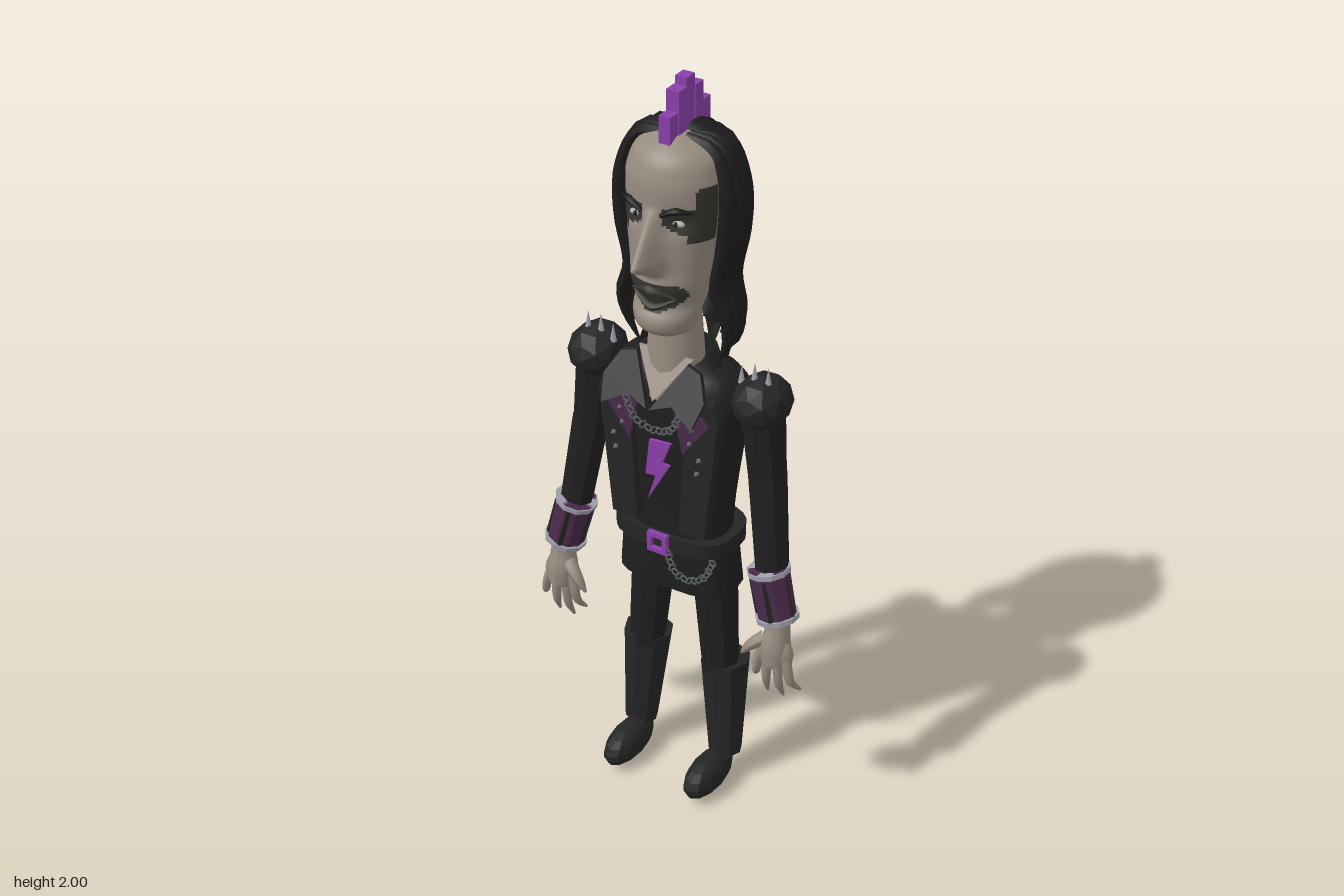
import * as THREE from 'three';

const M = {};
for (const [name, hex] of Object.entries({
  skin: 0x968b80, hair: 0x1c1c1c, leather: 0x252526, cloth: 0x1f1f20, purple: 0x8a40aa,
  plum: 0x4a2a4c, silver: 0xa2a2b0, steel: 0x5c6266, facePaint: 0x35342f, eye: 0xb0aca2 })) {
  M[name] = new THREE.MeshStandardMaterial({ color: hex });
  M[name].name = name;
}
M.hair.side = M.leather.side = THREE.DoubleSide;
const V = (a) => new THREE.Vector3(...a);

export function createModel() {
  const root = new THREE.Group();
  const add = (name, geo, mat, pos = [0, 0, 0], scale = [1, 1, 1], flat = false) => {
    if (flat) { geo = geo.index ? geo.toNonIndexed() : geo; geo.computeVertexNormals(); }
    const m = new THREE.Mesh(geo, mat);
    m.name = name; m.position.set(...pos); m.scale.set(...scale);
    root.add(m);
    return m;
  };

  // Skin stacked oval sections: keys are [y, halfWidth, zFront, zBack], angle 0 faces the front
  const loft = (keys, { rows = 12, seg = 28, e = 1, a0 = -Math.PI, a1 = Math.PI, cap = false, mod, paint } = {}) => {
    const curve = new THREE.CubicInterpolant(keys.map(k => k[0]), keys.flatMap(k => k.slice(1)), 3);
    const full = a1 - a0 > 6.28, cols = full ? seg : seg + 1, pos = [], sets = [[], []];
    const y0 = keys[0][0], y1 = keys[keys.length - 1][0], pw = (t) => Math.sign(t) * Math.abs(t) ** e;
    for (let r = cap ? -1 : 0; r <= (cap ? rows + 1 : rows); r++) {
      const t = Math.min(1, Math.max(0, r / rows)), y = y0 + (y1 - y0) * t, k = r < 0 || r > rows ? 0 : 1;
      const [w, zf, zb] = curve.evaluate(y);
      for (let j = 0; j < cols; j++) {
        const a = a0 + (a1 - a0) * j / seg;
        const p = V([k * w * pw(Math.sin(a)), y, (zf + zb) / 2 + k * (zf - zb) / 2 * pw(Math.cos(a))]);
        if (mod) mod(p, a, t);
        pos.push(p.x, p.y, p.z);
      }
    }
    for (let r = 0; r < pos.length / 3 / cols - 1; r++) for (let j = 0; j < seg; j++) {
      const a = r * cols + j, b = r * cols + (j + 1) % cols, mid = [0, 1, 2].map(i => (pos[a * 3 + i] + pos[(b + cols) * 3 + i]) / 2);
      sets[paint && paint(...mid) ? 1 : 0].push(a, b, b + cols, a, b + cols, a + cols);
    }
    const g = new THREE.BufferGeometry();
    g.setAttribute('position', new THREE.Float32BufferAttribute(pos, 3));
    g.setIndex([...sets[0], ...sets[1]]);
    if (paint) { g.addGroup(0, sets[0].length, 0); g.addGroup(sets[0].length, sets[1].length, 1); }
    g.computeVertexNormals();
    return g;
  };

  // Tube along points whose radius follows a list of values
  const sweep = (pts, radii, sides = 7, seg = 16) => {
    const c = new THREE.CatmullRomCurve3(pts.map(V)), g = new THREE.TubeGeometry(c, seg, 1, sides), p = g.attributes.position;
    for (let i = 0; i < p.count; i++) {
      const t = Math.floor(i / (sides + 1)) / seg, f = t * (radii.length - 1), k = Math.min(radii.length - 2, Math.floor(f));
      const o = c.getPointAt(t), v = new THREE.Vector3().fromBufferAttribute(p, i);
      v.sub(o).multiplyScalar(THREE.MathUtils.lerp(radii[k], radii[k + 1], f - k)).add(o);
      p.setXYZ(i, v.x, v.y, v.z);
    }
    g.computeVertexNormals();
    return g;
  };
  // Straight tapered limb from p to q
  const limb = (name, p, q, r0, r1, mat, sides = 8) => {
    const d = V(q).sub(V(p)), m = add(name, new THREE.CylinderGeometry(r1, r0, d.length(), sides), mat, V(p).lerp(V(q), 0.5).toArray(), [1, 1, 1], true);
    m.quaternion.setFromUnitVectors(new THREE.Vector3(0, 1, 0), d.normalize());
    return m;
  };
  // Extruded outline, optionally tilted outward towards the bottom
  const plate = (name, pts, z, depth, mat, tilt = 0, yTop = 0) => {
    const g = new THREE.ExtrudeGeometry(new THREE.Shape(pts.map(p => new THREE.Vector2(...p))), { depth, bevelEnabled: false });
    const p = g.attributes.position;
    for (let i = 0; i < p.count; i++) p.setZ(i, p.getZ(i) + z + tilt * (yTop - p.getY(i)));
    g.computeVertexNormals();
    return add(name, g, mat);
  };
  const mir = (pts, s) => pts.map(([x, ...r]) => [x * s, ...r]);
  const chain = (name, pts, n) => {
    const c = new THREE.CatmullRomCurve3(pts.map(V));
    for (let i = 0; i <= n; i++) {
      const m = add(name, new THREE.TorusGeometry(0.009, 0.003, 4, 8), M.steel, c.getPointAt(i / n).toArray());
      m.rotation.y = i % 2 ? 1.1 : 0;
    }
  };

  // Head with long nose and painted eye sockets and mouth
  const bump = (t, a, peak, b) => t <= a || t >= b ? 0 : t < peak ? (t - a) / (peak - a) : (b - t) / (b - peak);
  add('head', loft([
    [1.375, .03, .035, -.03], [1.40, .065, .085, -.05], [1.44, .08, .1, -.06], [1.475, .086, .082, -.08], [1.52, .095, .095, -.1],
    [1.57, .105, .09, -.12], [1.65, .118, .088, -.14], [1.72, .123, .088, -.145], [1.80, .117, .083, -.14], [1.85, .088, .055, -.12], [1.875, .035, .01, -.08]
  ], { rows: 70, seg: 88, cap: true,
    mod: (p) => {
      if (p.z < 0.03) return;
      const n = bump(p.y, 1.555, 1.602, 1.73), w = 0.032 - Math.max(0, p.y - 1.6) * 0.09;
      p.z += 0.086 * n * Math.exp(-((p.x / w) ** 2) * 1.6);
      p.z -= 0.014 * Math.exp(-(((Math.abs(p.x) - .058) / .03) ** 2) - ((p.y - 1.695) / .025) ** 2);
    },
    paint: (x, y, z) => {
      const a = Math.abs(x);
      if (z < 0) return false;
      const socket = a > .027 && y > 1.705 - .035 * Math.min(1, a / .06) - (a > .08 ? .025 : 0) && y < 1.735 + (a > .095 ? .05 : 0);
      const mouth = (x / .078) ** 2 + ((y - 1.497 - a * .25) / .04) ** 2 < 1;
      return socket || mouth;
    } }), [M.skin, M.facePaint]);
  for (const s of [1, -1]) {
    add('eye', new THREE.SphereGeometry(1, 14, 8), M.eye, [s * .056, 1.694, .062], [.017, .008, .009]);
    add('pupil', new THREE.SphereGeometry(.0065, 8, 6), M.hair, [s * .054, 1.694, .067]);
    add('eyebrow', sweep(mir([[.026, 1.718, .09], [.06, 1.735, .084], [.095, 1.728, .06]], s), [.006, .009, .003], 6, 8), M.hair);
  }
  add('upperLip', sweep([[-.06, 1.505, .076], [0, 1.522, .096], [.06, 1.505, .076]], [.003, .011, .003], 6, 12), M.facePaint);
  add('lowerLip', sweep([[-.055, 1.5, .074], [0, 1.475, .088], [.055, 1.5, .074]], [.003, .01, .003], 6, 12), M.facePaint);
  add('neck', new THREE.CylinderGeometry(.06, .078, .25, 16), M.skin, [0, 1.325, -.02]);

  // Hair: crown, rippled back curtain and hanging locks
  add('hairCrown', new THREE.SphereGeometry(1, 28, 18), M.hair, [0, 1.725, -.078], [.15, .165, .1]);
  add('hairCurtain', loft([[1.33, .12, 0, -.11], [1.4, .14, .01, -.135], [1.5, .135, .02, -.16], [1.6, .142, .02, -.165], [1.75, .147, .02, -.168],
    [1.83, .12, .015, -.155], [1.87, .075, 0, -.125], [1.888, .01, -.05, -.08]], { rows: 26, seg: 90, a0: 1.5, a1: Math.PI * 2 - 1.5,
    mod: (p, a, t) => {
      const k = 1 + .035 * Math.sin(a * 15 + 1.6 * Math.sin(p.y * 16));
      p.x *= k; p.z = (p.z + .06) * k - .06;
      p.y += (1 - t) ** 3 * .035 * Math.sin(a * 11);
    } }), M.hair);
  for (const s of [1, -1]) for (let i = 0; i < 7; i++) {
    const a = 1.25 + i * .28, x = Math.sin(a), z = Math.cos(a), o = s < 0 ? .014 : 0, end = 1.29 + i * .012 + (i % 2) * .025;
    const at = (w, y, d) => [s * (x * w + o), y, -.065 + z * d + .012 * (i < 3)];
    add('hairLock', sweep([[s * .025, 1.868, -.02 - i * .015], at(.095, 1.845, .075), at(.137, 1.75, .095), at(.138, 1.62, .098),
      at(.118, 1.5, .09), at(.145, 1.42, .08), at(.138, 1.35, .06), at(.108, end, .045)], [.012, .02, .023, .024, .022, .022, .016, .003], 7, 26), M.hair);
  }
  // Crest of upright blocks
  [1.93, 1.98, 2.0, 1.97, 1.92].forEach((top, i) =>
    add('crestBlock', new THREE.BoxGeometry(.03 + .004 * (i % 2), top - 1.84, .035), M.purple, [0, (top + 1.84) / 2, .014 - i * .035]));

  // Jacket body, skirt and belt
  add('torso', loft([[.78, .138, .045, -.125], [.88, .142, .045, -.13], [1.02, .158, .05, -.14], [1.15, .175, .052, -.148], [1.22, .178, .05, -.145],
    [1.265, .15, .035, -.125], [1.295, .09, .01, -.09]], { rows: 18, e: .75, cap: true }), M.cloth);
  add('jacketSkirt', loft([[.635, .162, .04, -.14], [.78, .148, .045, -.135]], { rows: 1, seg: 20, e: .65, cap: true }), M.cloth, undefined, undefined, true);
  add('belt', loft([[.765, .165, .06, -.15], [.81, .165, .06, -.15]], { rows: 1, seg: 24, e: .65, cap: true }), M.leather, undefined, undefined, true);
  const frame = new THREE.Shape([[-.028, -.028], [.028, -.028], [.028, .028], [-.028, .028]].map(p => new THREE.Vector2(...p)));
  frame.holes.push(new THREE.Path([[-.016, -.016], [-.016, .016], [.016, .016], [.016, -.016]].map(p => new THREE.Vector2(...p))));
  add('beltBuckle', new THREE.ExtrudeGeometry(frame, { depth: .015, bevelEnabled: false }), M.purple, [0, .788, .058]);
  plate('lightningBolt', [[-.025, 1.085], [.035, 1.09], [.01, 1.025], [.032, 1.025], [-.03, .91], [-.008, .985], [-.036, .982]], .055, .009, M.purple);
  plate('chestSkin', [[-.075, 1.32], [0, 1.215], [.075, 1.32]], .02, .006, M.skin, .6, 1.32);
  add('backCollar', loft([[1.25, .125, .03, -.11], [1.325, .1, .03, -.1]], { rows: 2, seg: 16, a0: 1.2, a1: Math.PI * 2 - 1.2 }), M.leather);
  chain('necklaceLink', [[-.075, 1.2, .085], [-.05, 1.15, .085], [0, 1.13, .08], [.05, 1.15, .085], [.075, 1.2, .085]], 14);
  chain('beltChainLink', [[.03, .77, .068], [.05, .72, .068], [.09, .705, .066], [.13, .725, .06], [.152, .775, .055]], 14);

  for (const s of [1, -1]) {
    // Open jacket front, lapel and pointed collar
    plate('jacketPanel', mir([[.06, .84], [.132, .84], [.168, 1.2], [.15, 1.235], [.06, 1.24], [.075, 1.1]], s), .035, .03, M.leather);
    plate('lapel', mir([[.075, 1.08], [.145, 1.18], [.125, 1.2], [.05, 1.2]], s), .066, .008, M.plum);
    plate('collar', mir([[.004, 1.205], [.07, 1.315], [.11, 1.305], [.14, 1.25], [.125, 1.19], [.06, 1.225]], s), .03, .012, M.leather, .6, 1.32);
    for (let i = 0; i < 5; i++) add('lapelStud', new THREE.ConeGeometry(.007, .014, 6).rotateX(Math.PI / 2), M.steel, [s * (.095 + .006 * (i % 2) + .02 * (i > 2)), 1.2 - i * .04, .079]);

    // Spiked shoulder pads
    add('shoulderPad', new THREE.IcosahedronGeometry(1, 1), M.leather, [s * .232, 1.23, -.033], [.072, .068, .084], true);
    [[.18, 1.295], [.215, 1.31], [.252, 1.308]].forEach(([x, y]) => add('shoulderSpike', new THREE.ConeGeometry(.009, .05, 7), M.silver, [s * x, y, -.022]));

    // Sleeve and wide cuff
    limb('upperArm', [s * .255, 1.0, -.03], [s * .232, 1.22, -.035], .047, .056, M.cloth);
    limb('forearm', [s * .305, .655, .01], [s * .253, 1.03, -.03], .04, .049, M.cloth);
    const cuff = (t) => [s * (.282 + .034 * t), .785 - .135 * t, .005 + .008 * t];
    limb('cuff', cuff(1), cuff(0), .05, .053, M.plum, 10);
    [0, .93].forEach(t => limb('cuffTrim', cuff(t + .1), cuff(t), .055, .057, M.silver, 10));
    for (let i = 0; i < 5; i++) {
      const a = i * Math.PI * .4 + .2, o = (t) => cuff(t).map((v, k) => v + [Math.sin(a), 0, Math.cos(a)][k] * .047);
      limb('cuffStrap', o(.92), o(.1), .008, .008, M.purple === M.plum ? M.plum : M.leather, 4);
    }

    // Hand with spread fingers
    add('wrist', sweep(mir([[.312, .67, .014], [.32, .62, .018], [.318, .57, .025], [.322, .52, .03]], s), [.03, .031, .04, .034], 12, 10), M.skin, [0, 0, 0]);
    add('palm', new THREE.SphereGeometry(1, 16, 12), M.skin, [s * .32, .55, .027], [.05, .055, .028]);
    [[.285, .27, .255, .46, .45], [.305, .3, .295, .425, .41], [.328, .336, .34, .42, .412], [.35, .37, .388, .455, .45]].forEach(([x0, x1, x2, , y], i) =>
      add('finger', sweep(mir([[x0, .55, .03], [x0 * .4 + x1 * .6, .51, .036], [x1, (y + .5) / 2, .032], [x2, y, .014]], s), [.016, .013, .011, .004], 8, 10), M.skin));
    add('thumb', sweep(mir([[.295, .59, .03], [.27, .57, .042], [.252, .55, .046], [.235, .525, .046]], s), [.02, .017, .013, .004], 8, 10), M.skin);

    // Legs, boots and shoes
    limb('thigh', [s * .113, .36, -.06], [s * .085, .72, -.065], .049, .062, M.cloth);
    limb('bootShaft', [s * .132, .085, -.058], [s * .118, .38, -.075], .045, .066, M.leather);
    add('shoe', new THREE.SphereGeometry(1, 12, 9), M.leather, [s * .125, .052, .018], [.046, .052, .104], true);
  }
  return root;
}
